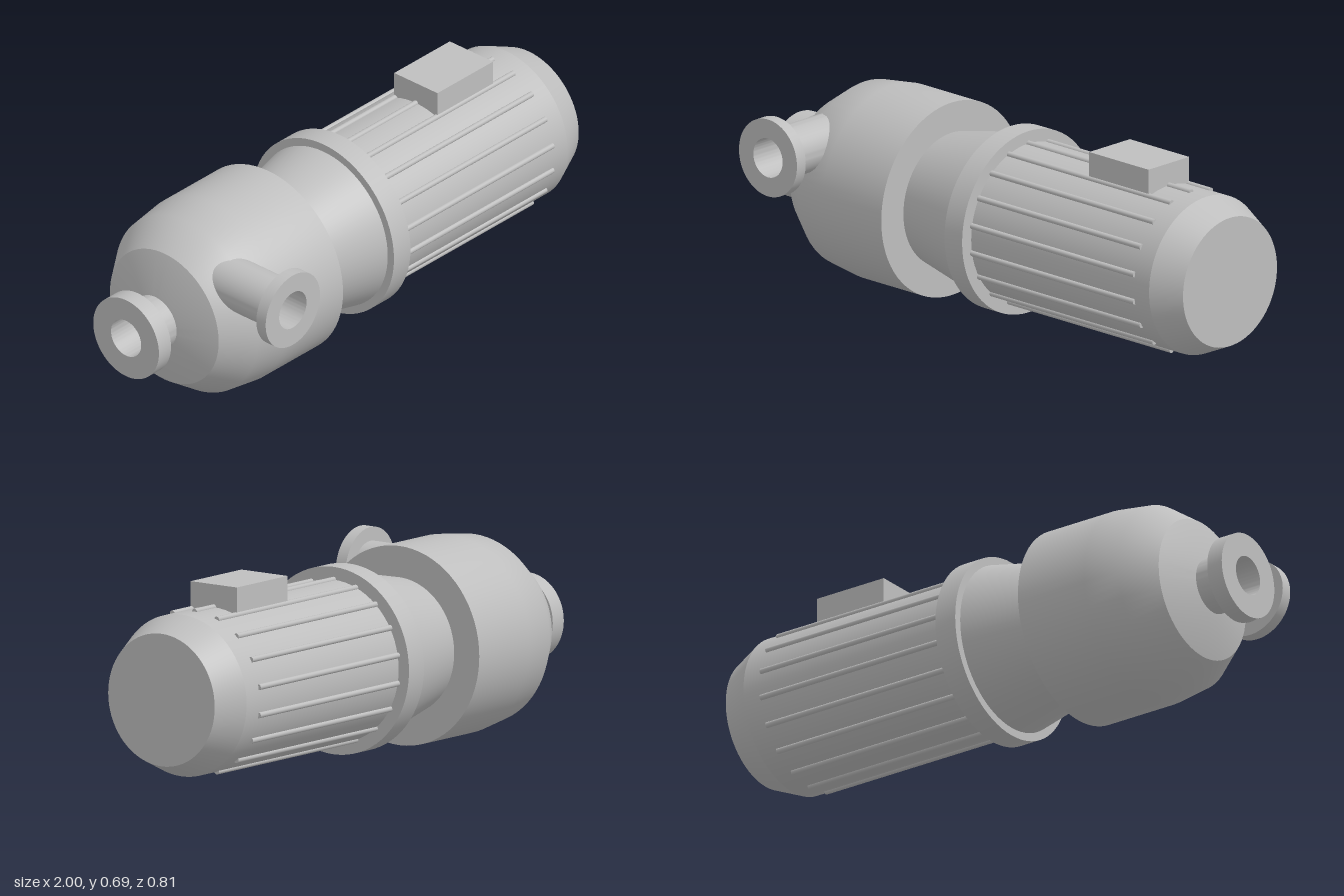
import * as THREE from 'three';
import { toCreasedNormals } from 'three/addons/utils/BufferGeometryUtils.js';

const AXIS_Y = 0.338, AXIS_Z = -0.067;

export function createModel() {
  const group = new THREE.Group();
  const metal = new THREE.MeshStandardMaterial({ color: 0xbebebe });
  metal.name = 'grey metal';

  function add(name, geometry, x, y, z, parent = group) {
    const mesh = new THREE.Mesh(geometry, metal);
    mesh.name = name;
    mesh.position.set(x, y, z);
    parent.add(mesh);
    return mesh;
  }

  // Turned profile of [position along axis, radius], outside listed in rising order
  function turned(profile, crease = 0.5) {
    const points = profile.map(([a, r]) => new THREE.Vector2(r, a));
    return toCreasedNormals(new THREE.LatheGeometry(points, 72), crease);
  }

  // Part turned about the shaft line, which runs along x
  function onShaft(name, profile, crease) {
    return add(name, turned(profile, crease).rotateZ(-Math.PI / 2), 0, AXIS_Y, AXIS_Z);
  }

  // Pump casing with a domed suction end
  onShaft('pumpCasing', [[-0.855, 0], [-0.855, 0.11], [-0.81, 0.245], [-0.7, 0.321],
    [-0.57, 0.338], [-0.295, 0.338], [-0.295, 0]]);

  // Suction pipe and flange with a blind bore
  onShaft('suctionNozzle', [[-0.86, 0], [-0.86, 0.068], [-1, 0.068], [-1, 0.148],
    [-0.94, 0.148], [-0.94, 0.096], [-0.82, 0.096]]);

  // Discharge pipe and flange, offset above the shaft and facing the front
  add('dischargeNozzle', turned([[0, 0.088], [0.363, 0.088], [0.363, 0.135], [0.405, 0.135],
    [0.405, 0.068], [0.25, 0.068], [0.25, 0]]).rotateX(Math.PI / 2), -0.692, 0.501, 0);

  // Tapered lantern between pump and motor
  onShaft('lantern', [[-0.31, 0.228], [-0.295, 0.232], [-0.01, 0.292]]);
  onShaft('motorFlange', [[-0.02, 0], [-0.02, 0.318], [0.062, 0.318], [0.062, 0]]);

  // Motor body with a chamfered fan cover
  onShaft('motorBody', [[0.05, 0.2745], [0.89, 0.2745], [1, 0.225], [1, 0]], 0.3);

  // Round cooling ribs spaced evenly around the motor
  const ribs = new THREE.Group();
  ribs.name = 'coolingRibs';
  ribs.position.set(0, AXIS_Y, AXIS_Z);
  group.add(ribs);
  const ribGeometry = new THREE.CylinderGeometry(0.01, 0.01, 0.765, 16).rotateZ(-Math.PI / 2);
  for (let i = 0; i < 18; i++) {
    const angle = i * Math.PI / 9;
    add('coolingRib', ribGeometry, 0.4375, 0.2745 * Math.cos(angle), 0.2745 * Math.sin(angle), ribs);
  }

  // Terminal box on top of the motor
  add('terminalBox', new THREE.BoxGeometry(0.276, 0.14, 0.195), 0.577, 0.62, AXIS_Z);

  return group;
}
